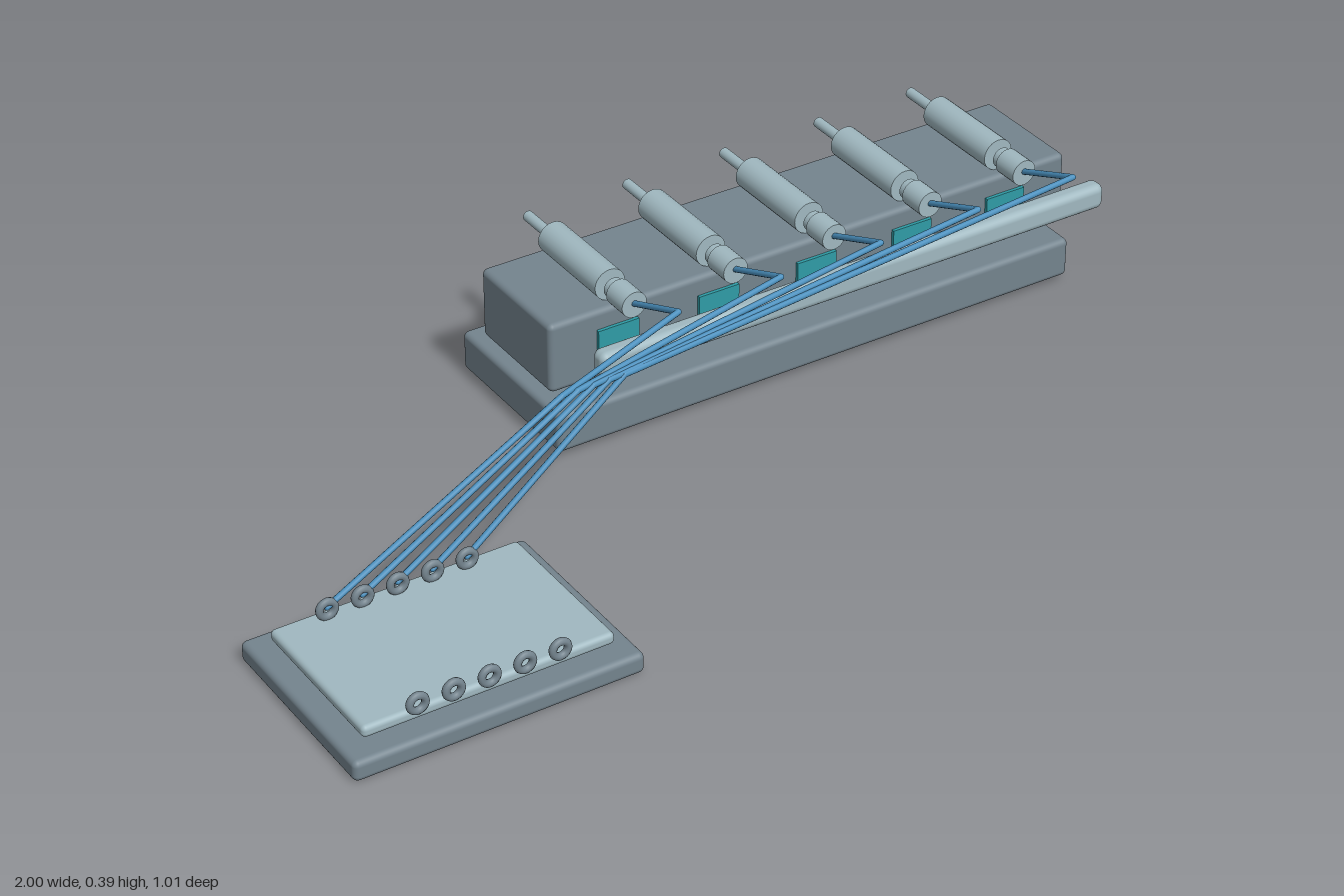
import * as THREE from 'three';
import { RoundedBoxGeometry } from 'three/addons/geometries/RoundedBoxGeometry.js';

const material = (name, color) => {
  const m = new THREE.MeshStandardMaterial({ color });
  m.name = name;
  return m;
};

export function createModel() {
  const slate = material('slate grey', 0x74848e);
  const pale = material('pale steel', 0xa0b8c0);
  const blue = material('tube blue', 0x4a90be);
  const teal = material('window teal', 0x2f9ca6);

  const model = new THREE.Group();
  model.name = 'pumpArrayWithChip';

  const add = (parent, name, geometry, mat, x = 0, y = 0, z = 0) => {
    const mesh = new THREE.Mesh(geometry, mat);
    mesh.name = name;
    mesh.position.set(x, y, z);
    parent.add(mesh);
    return mesh;
  };
  // Rounded block given by its extents
  const block = (name, mat, [x0, x1], [y0, y1], [z0, z1], r) =>
    add(model, name, new RoundedBoxGeometry(x1 - x0, y1 - y0, z1 - z0, 3, r), mat,
      (x0 + x1) / 2, (y0 + y1) / 2, (z0 + z1) / 2);
  // Cylinder lying along z between two depths
  const barrel = (parent, name, mat, r, z0, z1) =>
    add(parent, name, new THREE.CylinderGeometry(r, r, z1 - z0, 24).rotateX(Math.PI / 2),
      mat, 0, 0, (z0 + z1) / 2);

  // Pump housing, its base and the front rail
  block('pumpBase', slate, [-0.2, 1], [0.01, 0.095], [-0.507, -0.145], 0.012);
  block('pumpHousing', slate, [-0.205, 0.992], [0.136, 0.286], [-0.416, -0.164], 0.012);
  block('frontRail', pale, [-0.18, 0.98], [0.237, 0.291], [-0.057, -0.016], 0.016);

  // Chip tray and plate
  block('trayBase', slate, [-1, -0.418], [0, 0.043], [0.09, 0.508], 0.012);
  block('chipPlate', pale, [-0.96, -0.455], [0.052, 0.077], [0.13, 0.468], 0.01);

  const ring = new THREE.TorusGeometry(0.0155, 0.0075, 10, 24);
  const tubeRadius = 0.006;

  for (let i = 0; i < 5; i++) {
    const x = -0.057 + i * 0.225;
    const portX = -0.858 + i * 0.071;

    // Syringe: barrel, plunger rod, nozzle
    const syringe = new THREE.Group();
    syringe.name = 'syringe' + (i + 1);
    syringe.position.set(x, 0.318, 0);
    model.add(syringe);
    barrel(syringe, 'barrel', pale, 0.033, -0.394, -0.188);
    barrel(syringe, 'plungerRod', pale, 0.011, -0.487, -0.394);
    barrel(syringe, 'nozzleTip', pale, 0.027, -0.158, -0.102);
    barrel(syringe, 'nozzleCollar', pale, 0.021, -0.176, -0.158);

    // Window on the housing front
    add(model, 'window' + (i + 1), new THREE.BoxGeometry(0.09, 0.046, 0.008), teal, x, 0.222, -0.161);

    // Inlet and outlet ports on the chip
    add(model, 'inletPort' + (i + 1), ring, slate, portX, 0.096, 0.157);
    add(model, 'outletPort' + (i + 1), ring, slate, portX, 0.096, 0.478);

    // Angular tube from nozzle to inlet
    const tube = new THREE.Group();
    tube.name = 'tube' + (i + 1);
    model.add(tube);
    const points = [
      [x, 0.32, -0.105],
      [x, 0.383, 0.05],
      [-0.35 + i * 0.033, 0.343, 0.122],
      [portX, 0.1, 0.157],
    ].map((p) => new THREE.Vector3(...p));
    for (let k = 0; k < 3; k++) {
      const run = new THREE.LineCurve3(points[k], points[k + 1]);
      add(tube, 'tubeRun', new THREE.TubeGeometry(run, 1, tubeRadius, 10), blue);
      add(tube, 'tubeJoint', new THREE.SphereGeometry(tubeRadius, 10, 8), blue, ...points[k + 1]);
    }
  }
  return model;
}
